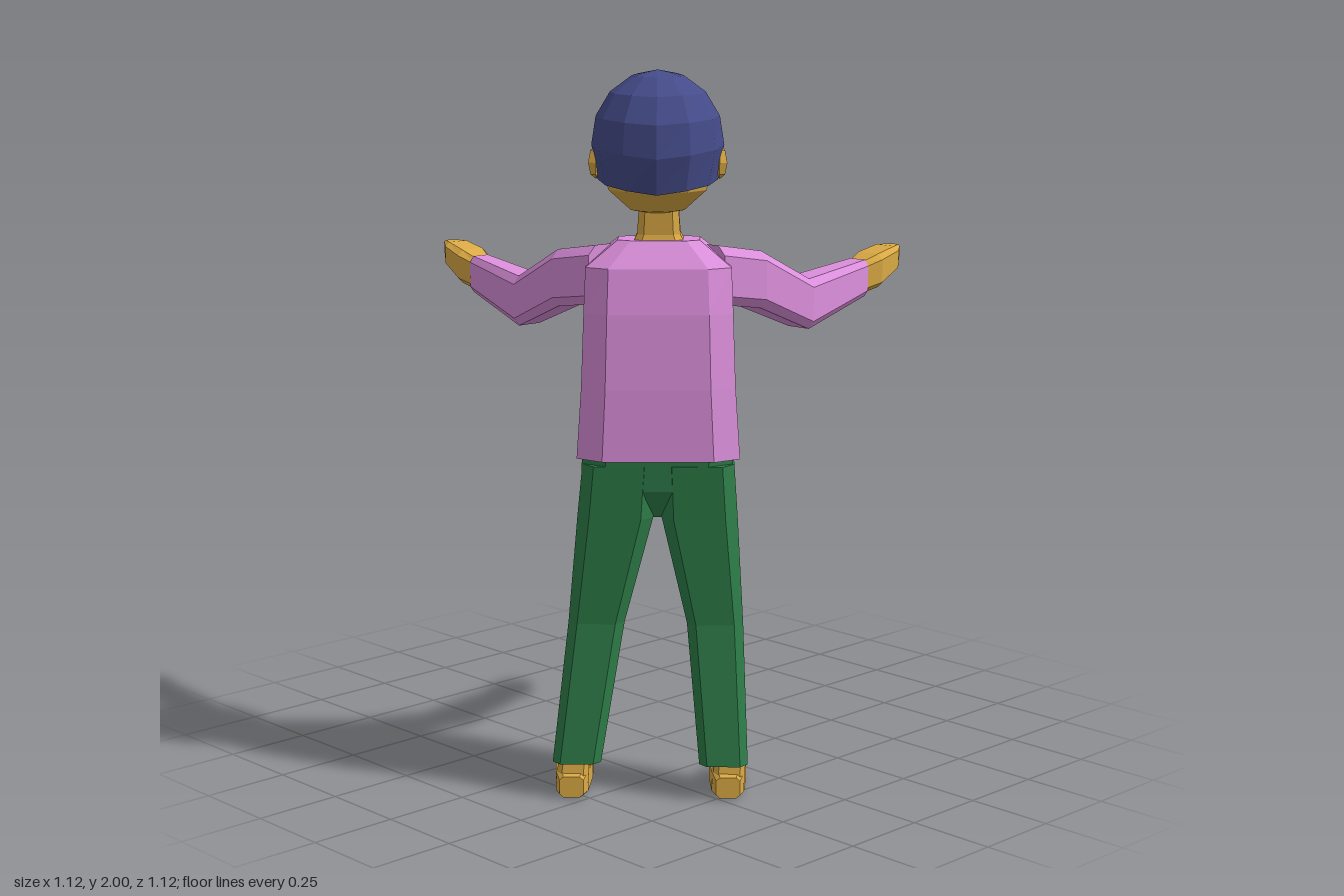
import * as THREE from 'three';

const mat = (color) => new THREE.MeshStandardMaterial({ color, flatShading: true, side: THREE.DoubleSide });
const skin = mat(0xdcab45), shirt = mat(0xdd90dd), pants = mat(0x2f804b), hairMat = mat(0x454c8a), eyeMat = mat(0x2b3060);

const X = new THREE.Vector3(1, 0, 0), Y = new THREE.Vector3(0, 1, 0), Z = new THREE.Vector3(0, 0, 1);

// Joins rings of points (equal counts) into a faceted skin, with optional end caps.
function skinRings(rings, caps = true) {
  const pos = [], n = rings[0].length;
  const tri = (...pts) => pts.forEach((p) => pos.push(p.x, p.y, p.z));
  for (let i = 0; i < rings.length - 1; i++) {
    for (let j = 0; j < n; j++) {
      const k = (j + 1) % n, A = rings[i], B = rings[i + 1];
      tri(A[j], A[k], B[k]);
      tri(A[j], B[k], B[j]);
    }
  }
  if (caps) {
    const first = rings[0], last = rings[rings.length - 1];
    for (let j = 1; j < n - 1; j++) {
      tri(first[0], first[j + 1], first[j]);
      tri(last[0], last[j], last[j + 1]);
    }
  }
  const g = new THREE.BufferGeometry();
  g.setAttribute('position', new THREE.Float32BufferAttribute(pos, 3));
  g.computeVertexNormals();
  return g;
}

// Loft of chamfered rectangles; each section is [x, y, z, halfWidth, halfHeight].
// axis is the direction of travel, up the direction of halfHeight.
function loft(sections, axis, up, k = 0.32) {
  const u = up.clone().cross(axis), c = 1 - k;
  const oct = [[1, -c], [1, c], [c, 1], [-c, 1], [-1, c], [-1, -c], [-c, -1], [c, -1]];
  return skinRings(sections.map(([x, y, z, a, b]) => oct.map(([s, t]) =>
    new THREE.Vector3(x, y, z).addScaledVector(u, s * a).addScaledVector(up, t * b))));
}

function add(parent, name, geometry, material) {
  const m = new THREE.Mesh(geometry, material);
  m.name = name;
  parent.add(m);
  return m;
}

// Hair cap whose lower edge is high over the brow and low at the nape.
function hairGeometry() {
  const n = 12, rows = 5, rings = [];
  const radius = (y) => 0.177 * Math.sqrt(Math.max(0, 1 - ((y - 1.81) / (y > 1.81 ? 0.19 : 0.24)) ** 2));
  const hem = [1.84, 1.82, 1.78, 1.71, 1.7, 1.69, 1.68];
  for (let r = 0; r <= rows + 1; r++) {
    const ring = [];
    for (let j = 0; j < n; j++) {
      const ang = (j / n) * Math.PI * 2, low = hem[Math.min(j, n - j)];
      const end = Math.acos((low - 1.81) / (low > 1.81 ? 0.19 : 0.24));
      const th = (end * Math.min(r, rows)) / rows;
      const y = 1.81 + Math.cos(th) * (th < Math.PI / 2 ? 0.19 : 0.24);
      const rad = radius(y) * (r > rows ? 0.82 : 1);
      ring.push(new THREE.Vector3(Math.sin(ang) * rad, y, Math.cos(ang) * rad));
    }
    rings.unshift(ring);
  }
  return skinRings(rings, false);
}

export function createModel() {
  const model = new THREE.Group();
  model.name = 'figure';

  // Body, turned to face diagonally backwards
  const body = new THREE.Group();
  body.name = 'body';
  body.position.set(-0.305, 0, 0.325);
  body.rotation.y = Math.PI * 0.75;
  model.add(body);

  add(body, 'shirt', loft([
    [0, 0.965, 0, 0.22, 0.148], [0, 1.16, 0, 0.207, 0.145], [0, 1.36, 0.005, 0.2, 0.14],
    [0, 1.48, 0.005, 0.195, 0.12], [0, 1.55, 0, 0.11, 0.065],
  ], Y, Z), shirt);

  // Trousers
  add(body, 'pelvis', loft([
    [0.01, 0.8, 0, 0.1, 0.08], [0.01, 0.88, 0, 0.2, 0.13], [0, 0.985, 0, 0.205, 0.14],
  ], Y, Z), pants);
  add(body, 'leftLeg', loft([
    [0.226, 0.1, -0.014, 0.067, 0.078], [0.17, 0.5, 0, 0.077, 0.088],
    [0.117, 0.8, 0, 0.103, 0.122], [0.105, 0.95, 0, 0.1, 0.138],
  ], Y, Z), pants);
  add(body, 'rightLeg', loft([
    [-0.18, 0.1, -0.03, 0.067, 0.078], [-0.155, 0.5, -0.007, 0.077, 0.088],
    [-0.112, 0.8, 0, 0.103, 0.122], [-0.105, 0.95, 0, 0.1, 0.138],
  ], Y, Z), pants);

  // Feet with ankles
  for (const [side, x] of [['left', 0.24], ['right', -0.193]]) {
    add(body, side + 'Foot', loft([
      [x, 0.035, -0.095, 0.033, 0.03], [x, 0.042, -0.06, 0.045, 0.042], [x, 0.035, 0.05, 0.052, 0.035],
      [x, 0.03, 0.12, 0.052, 0.03], [x, 0.025, 0.16, 0.032, 0.022],
    ], Z, Y), skin);
    add(body, side + 'Ankle', loft([[x, 0.04, -0.03, 0.045, 0.058], [x - 0.008, 0.13, -0.025, 0.042, 0.05]], Y, Z), skin);
  }

  // Neck and head
  add(body, 'neck', loft([
    [0, 1.53, 0.005, 0.075, 0.07], [0, 1.565, 0, 0.058, 0.055], [0, 1.68, -0.01, 0.05, 0.05],
  ], Y, Z), skin);
  const head = new THREE.Group();
  head.name = 'head';
  head.position.set(0.003, 0, -0.018);
  body.add(head);
  const profile = [[0, 1.615], [0.075, 1.63], [0.137, 1.685], [0.16, 1.77], [0.152, 1.86], [0.1, 1.93], [0, 1.95]];
  add(head, 'face', new THREE.LatheGeometry(profile.map(([r, y]) => new THREE.Vector2(r, y)), 10), skin);
  add(head, 'hair', hairGeometry(), hairMat);
  add(head, 'nose', new THREE.ConeGeometry(0.018, 0.04, 4), skin).position.set(0, 1.735, 0.15);
  for (const s of [-1, 1]) {
    const eye = add(head, s > 0 ? 'leftEye' : 'rightEye', new THREE.BoxGeometry(0.026, 0.045, 0.02), eyeMat);
    eye.position.set(s * 0.056, 1.772, 0.143);
    eye.rotation.y = s * 0.35;
    const ear = add(head, s > 0 ? 'leftEar' : 'rightEar', new THREE.SphereGeometry(1, 6, 4), skin);
    ear.scale.set(0.022, 0.045, 0.03);
    ear.position.set(s * 0.165, 1.755, 0.005);
    ear.rotation.y = s * -0.4;
  }

  // Outstretched arms and hands
  add(model, 'rightSleeve', loft([
    [-0.22, 1.455, 0.41, 0.08, 0.08], [-0.09, 1.435, 0.45, 0.072, 0.078],
    [0.1, 1.35, 0.465, 0.056, 0.07], [0.385, 1.392, 0.43, 0.04, 0.052],
  ], X, Y), shirt);
  add(model, 'rightHand', loft([
    [0.375, 1.392, 0.43, 0.034, 0.045], [0.43, 1.41, 0.43, 0.054, 0.048],
    [0.51, 1.437, 0.425, 0.05, 0.036], [0.557, 1.458, 0.42, 0.02, 0.015],
  ], X, Y), skin);
  const back = Z.clone().negate();
  add(model, 'leftSleeve', loft([
    [-0.395, 1.455, 0.23, 0.08, 0.08], [-0.41, 1.435, 0.09, 0.072, 0.078],
    [-0.4, 1.35, -0.1, 0.056, 0.07], [-0.337, 1.392, -0.385, 0.04, 0.052],
  ], back, Y), shirt);
  add(model, 'leftHand', loft([
    [-0.337, 1.392, -0.375, 0.034, 0.045], [-0.33, 1.41, -0.43, 0.054, 0.048],
    [-0.318, 1.437, -0.51, 0.048, 0.036], [-0.31, 1.458, -0.56, 0.02, 0.015],
  ], back, Y), skin);

  return model;
}
